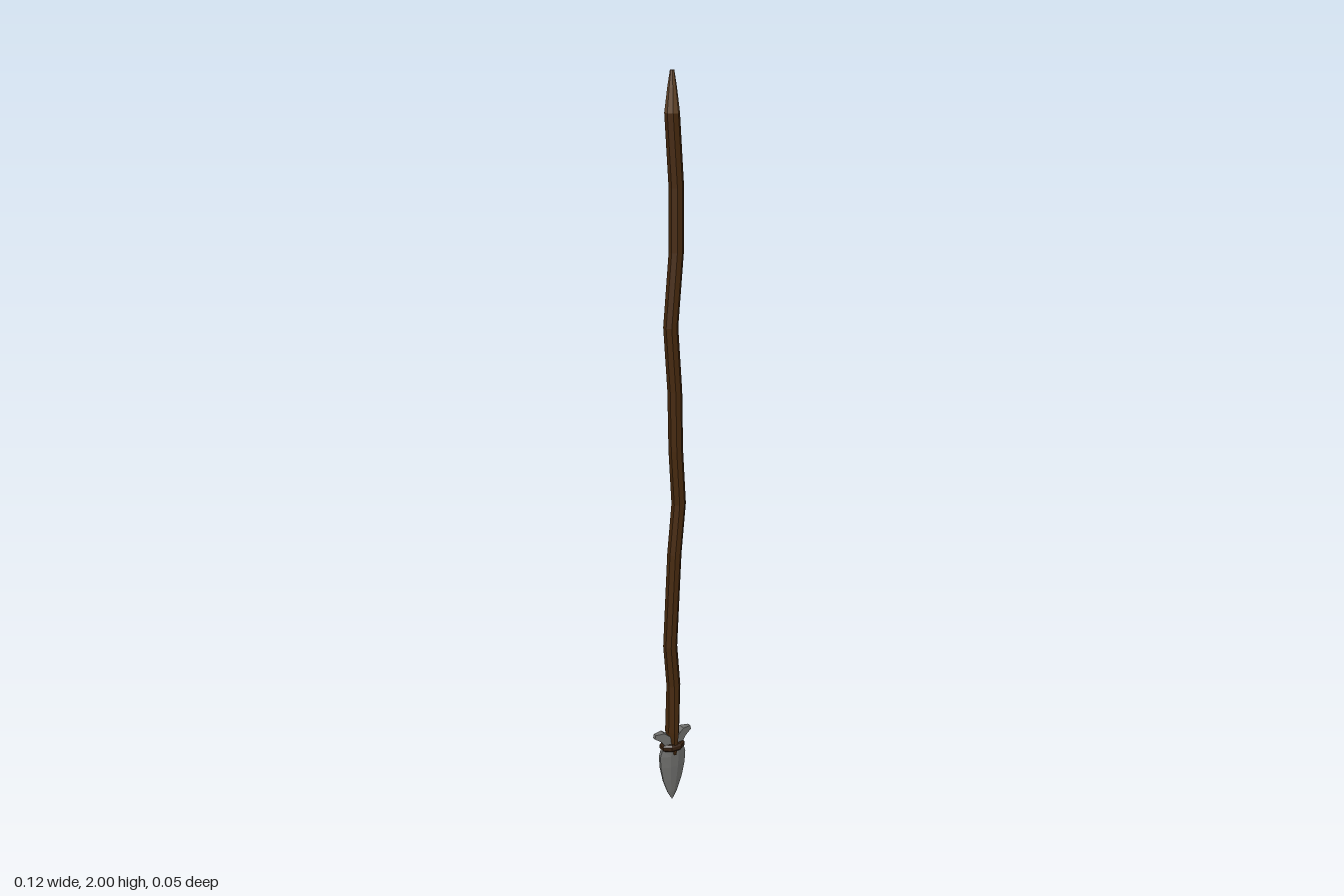
import * as THREE from 'three';

const material = (name, color) => new THREE.MeshStandardMaterial({ name, color });

// Faceted loft: each row is [y, half width, half depth, centre x], bottom to top.
function loft(name, rows, section, mat) {
  const n = section.length;
  const pos = [];
  const point = ([y, w, d, cx = 0], k) => {
    const [sx, sz] = section[k % n];
    return [cx + sx * w, y, sz * d];
  };
  const centre = ([y, , , cx = 0]) => [cx, y, 0];
  const tri = (...corners) => corners.forEach(c => pos.push(...c));
  for (let j = 0; j < n; j++) {
    for (let i = 0; i < rows.length - 1; i++) {
      const a = point(rows[i], j), b = point(rows[i], j + 1);
      const c = point(rows[i + 1], j + 1), d = point(rows[i + 1], j);
      tri(a, d, c);
      tri(a, c, b);
    }
    // End caps
    const low = rows[0], high = rows[rows.length - 1];
    tri(centre(low), point(low, j), point(low, j + 1));
    tri(centre(high), point(high, j + 1), point(high, j));
  }
  const geo = new THREE.BufferGeometry();
  geo.setAttribute('position', new THREE.Float32BufferAttribute(pos, 3));
  geo.computeVertexNormals();
  const mesh = new THREE.Mesh(geo, mat);
  mesh.name = name;
  return mesh;
}

export function createModel() {
  const wood = material('dark wood', 0x46290e);
  const cutWood = material('cut wood', 0x62452a);
  const cord = material('binding cord', 0x352010);
  const stone = material('grey stone', 0x70706e);

  const octagon = Array.from({ length: 8 }, (_, i) => {
    const t = (i + 0.5) * Math.PI / 4;
    return [Math.cos(t) * 1.06, Math.sin(t) * 1.06];
  });
  // Flattened diamond with narrow blunt edges
  const bladeSection = [[1, -0.3], [1, 0.3], [0.3, 1], [-0.3, 1],
    [-1, 0.3], [-1, -0.3], [-0.3, -1], [0.3, -1]];

  const spear = new THREE.Group();
  spear.name = 'spear';

  // Crooked shaft, swelling at the foot where it grips the blade
  spear.add(loft('shaft', [
    [0.15, 0.006, 0.02, 0], [0.19, 0.014, 0.023, 0], [0.22, 0.017, 0.024, 0],
    [0.36, 0.018, 0.018, 0.004], [0.48, 0.018, 0.018, -0.006],
    [0.75, 0.018, 0.018, 0.007], [0.89, 0.018, 0.018, 0.02],
    [1.04, 0.018, 0.018, 0.011], [1.2, 0.018, 0.018, 0.008],
    [1.37, 0.018, 0.018, -0.004], [1.56, 0.018, 0.018, 0.012],
    [1.72, 0.018, 0.018, 0.012], [1.9, 0.018, 0.018, 0],
  ], octagon, wood));

  // Whittled butt end
  spear.add(loft('sharpenedEnd', [
    [1.9, 0.018, 0.018], [1.96, 0.011, 0.011], [2, 0.005, 0.005],
  ], octagon, cutWood));

  // Leaf-shaped blade
  spear.add(loft('blade', [
    [0, 0.001, 0.001], [0.025, 0.015, 0.005], [0.065, 0.029, 0.009],
    [0.11, 0.038, 0.013], [0.145, 0.04, 0.015], [0.165, 0.034, 0.016],
    [0.18, 0.026, 0.016],
  ], bladeSection, stone));

  // Swept-back barbs, mirrored on both sides
  for (const side of [-1, 1]) {
    const outline = new THREE.Shape([
      [0, 0.178], [0.026, 0.178], [0.038, 0.195], [0.058, 0.209],
      [0.055, 0.22], [0.03, 0.221], [0.014, 0.208], [0, 0.208],
    ].map(([x, y]) => new THREE.Vector2(side * x, y)));
    const geo = new THREE.ExtrudeGeometry(outline, { depth: 2, bevelEnabled: false });
    // Thin the barb towards its outer edge
    const p = geo.attributes.position;
    for (let i = 0; i < p.count; i++) {
      const half = 0.016 - 0.19 * Math.abs(p.getX(i));
      p.setZ(i, (p.getZ(i) - 1) * half);
    }
    geo.computeVertexNormals();
    const barb = new THREE.Mesh(geo, stone);
    barb.name = side > 0 ? 'leftBarb' : 'rightBarb';
    spear.add(barb);
  }

  // Cord lashed around the waist of the blade
  spear.add(loft('binding', [
    [0.163, 0.029, 0.021], [0.168, 0.035, 0.025],
    [0.178, 0.035, 0.025], [0.184, 0.029, 0.021],
  ], octagon, cord));

  return spear;
}
